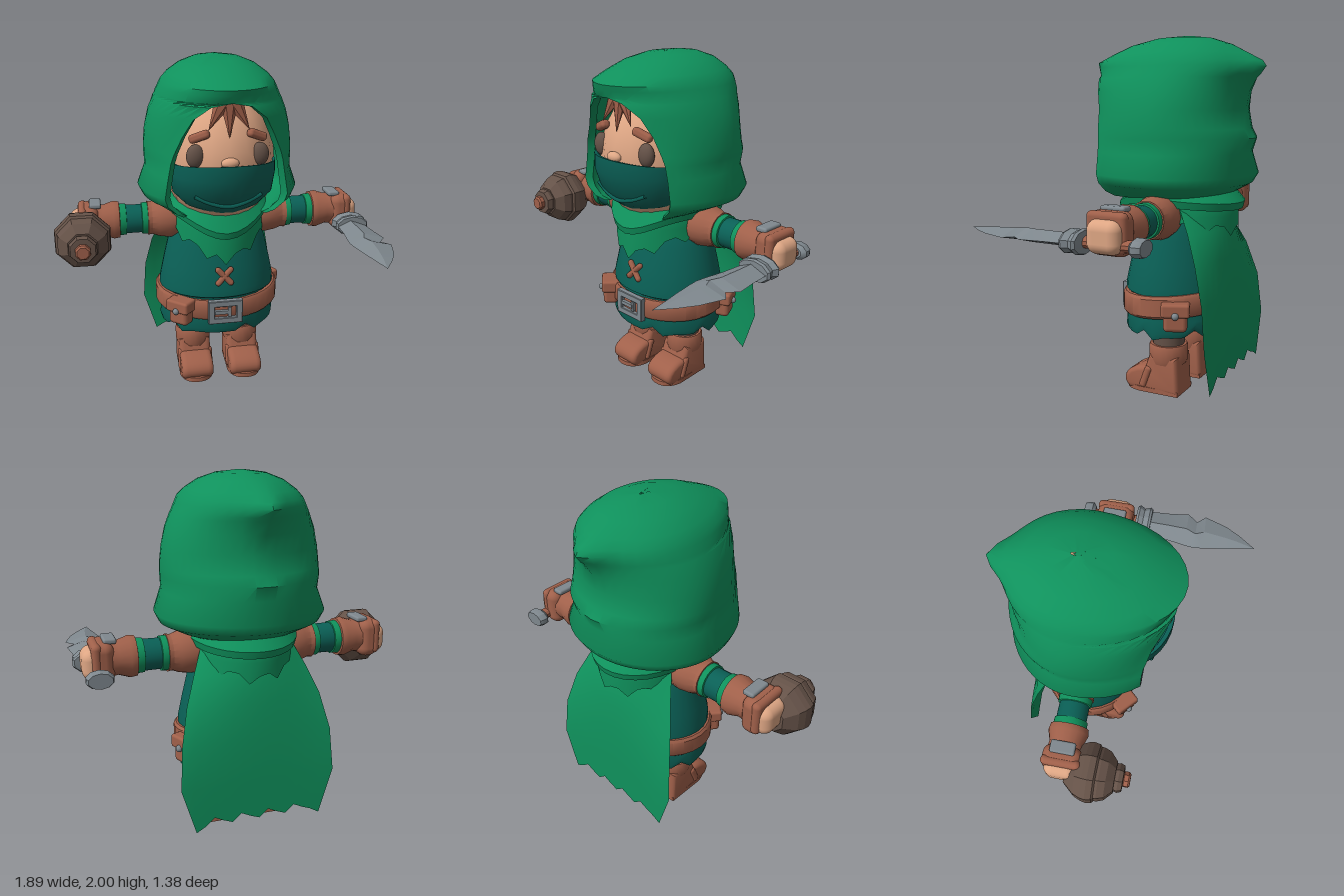
import * as THREE from 'three';
import { toCreasedNormals } from 'three/addons/utils/BufferGeometryUtils.js';
import { RoundedBoxGeometry } from 'three/addons/geometries/RoundedBoxGeometry.js';

const CX = 0.03, CZ = -0.2; // body axis
const { sin, cos, PI, abs } = Math;

const material = (name, color, side = THREE.FrontSide) => {
  const m = new THREE.MeshStandardMaterial({ color, side });
  m.name = name;
  return m;
};

// Skin a list of rows (top to bottom) of [x, y, z] points
function loft(rows, closed = true, crease = 0.7) {
  const n = rows[0].length, index = [];
  for (let i = 0; i < rows.length - 1; i++)
    for (let j = 0; j < (closed ? n : n - 1); j++) {
      const k = (j + 1) % n, a = i * n + j, b = a + n, c = i * n + k, d = c + n;
      index.push(a, b, c, b, d, c);
    }
  const g = new THREE.BufferGeometry();
  g.setAttribute('position', new THREE.Float32BufferAttribute(rows.flat(2), 3));
  g.setIndex(index);
  return toCreasedNormals(g, crease);
}

// Elliptical ring round the body; y may depend on the angle
const ring = (y, rx, rz, n = 32, zc = CZ) => Array.from({ length: n }, (_, j) => {
  const a = j / n * 2 * PI;
  return [CX + rx * sin(a), typeof y === 'function' ? y(a, j) : y, zc + rz * cos(a)];
});

const lathe = (points, sides = 20, crease = 0.6) =>
  toCreasedNormals(new THREE.LatheGeometry(points.map(p => new THREE.Vector2(...p)), sides), crease);

export function createModel() {
  const root = new THREE.Group();
  const green = material('hood green', 0x0f915c, THREE.DoubleSide);
  const teal = material('tunic teal', 0x0a6056, THREE.DoubleSide);
  const skin = material('skin', 0xdea684);
  const leather = material('leather brown', 0xa0604a);
  const dark = material('dark brown', 0x655248);
  const metal = material('steel grey', 0x7f888e);

  const add = (name, geo, mat, x = 0, y = 0, z = 0, parent = root) => {
    const m = new THREE.Mesh(geo, mat);
    m.name = name;
    m.position.set(x, y, z);
    parent.add(m);
    return m;
  };
  const blob = (name, mat, x, y, z, rx, ry, rz) =>
    add(name, new THREE.SphereGeometry(1, 20, 14).scale(rx, ry, rz), mat, x, y, z);

  // Hood: [y, half width, front z, back z, opening half width, back peak]
  const hood = [
    [2.0, 0.01, -0.24, -0.26, 0, 0], [1.985, 0.13, -0.05, -0.38, 0, 0], [1.95, 0.22, 0.1, -0.48, 0, 0.01],
    [1.9, 0.29, 0.22, -0.55, 0, 0.04], [1.86, 0.325, 0.31, -0.59, 0, 0.08], [1.83, 0.34, 0.3, -0.6, 0, 0.09],
    [1.79, 0.36, 0.285, -0.6, 0, 0.06], [1.77, 0.37, 0.275, -0.59, 0.11, 0.05], [1.7, 0.4, 0.23, -0.58, 0.2, 0.02],
    [1.6, 0.425, 0.19, -0.57, 0.255, 0.01], [1.5, 0.435, 0.17, -0.59, 0.3, 0.01], [1.45, 0.435, 0.16, -0.62, 0.315, 0.01],
    [1.37, 0.43, 0.155, -0.595, 0.33, 0], [1.25, 0.475, 0.155, -0.63, 0.35, 0], [1.2, 0.45, 0.15, -0.6, 0.335, 0],
    [1.15, 0.35, 0.14, -0.51, 0.28, 0], [1.12, 0.28, 0.1, -0.42, 0.24, 0],
  ];
  add('hood', loft(hood.map(([y, w, ze, zb, ow, tip]) => {
    const a0 = Math.asin(ow / w), zf = CZ + (ze - CZ) / cos(a0), n = 36, outer = [];
    for (let j = 0; j <= n; j++) {
      const a = a0 + (2 * PI - 2 * a0) * j / n, x = w * sin(a), c = cos(a);
      const z = c > 0 ? CZ + (zf - CZ) * c : CZ + (CZ - zb) * c - tip * Math.exp(-((x / 0.09) ** 2));
      outer.push([CX + x, y, z]);
    }
    const inner = outer.map(([x, yy, z]) => [CX + (x - CX) * 0.91, yy, CZ + (z - CZ) * 0.91]).reverse();
    return [...outer, ...inner];
  }), true, 0.9), green);

  // Head and face
  blob('head', skin, CX, 1.42, -0.15, 0.33, 0.42, 0.39);
  blob('nose', skin, CX, 1.46, 0.235, 0.05, 0.03, 0.03);
  for (const s of [-1, 1]) {
    blob('eye', dark, CX + s * 0.18, 1.49, 0.165, 0.052, 0.066, 0.035);
    const brow = add('eyebrow', new RoundedBoxGeometry(0.12, 0.05, 0.05, 2, 0.02), leather, CX + s * 0.16, 1.6, 0.175);
    brow.rotation.set(-0.2, s * 0.4, -s * 0.3);
  }
  for (const [x, y, r, h, tilt] of [[0.03, 1.7, 0.06, 0.22, 0], [-0.045, 1.71, 0.05, 0.17, -0.5], [0.1, 1.71, 0.05, 0.17, 0.5]]) {
    const lock = add('hair lock', toCreasedNormals(new THREE.ConeGeometry(r, h, 7).rotateX(PI).scale(1, 1, 0.6), 0.3), leather, x, y, 0.2);
    lock.rotation.set(-0.15, 0, tilt);
  }

  // Cloth mask: [y, half width, front z]
  const mask = [[1.445, 0.29, 0.25], [1.45, 0.305, 0.275], [1.36, 0.305, 0.275], [1.25, 0.29, 0.23], [1.18, 0.22, 0.185], [1.13, 0.11, 0.12]];
  add('mask', loft(mask.map(([y, hw, zf]) => Array.from({ length: 17 }, (_, j) => {
    const a = (j / 16 - 0.5) * PI;
    return [CX + hw * sin(a), y - (y > 1.4 ? 0.02 * sin(a) ** 2 : 0), zf * cos(a)];
  })), false), teal);
  const fold = new THREE.CatmullRomCurve3([[-0.19, 1.265, 0.185], [-0.1, 1.225, 0.2], [0, 1.205, 0.208], [0.1, 1.225, 0.2], [0.19, 1.265, 0.185]]
    .map(([x, y, z]) => new THREE.Vector3(CX + x, y, z)));
  add('mask fold', new THREE.TubeGeometry(fold, 16, 0.012, 6), teal);

  // Shoulder cowl with ragged hem, and the folded collar above it
  const hem = (a, j) => 0.94 - 0.08 * Math.max(0, cos(a)) ** 3 + 0.05 * abs(sin(a)) + (j % 3 === 0 ? -0.035 : 0.015);
  add('cowl', loft([ring(1.2, 0.25, 0.27), ring(1.1, 0.28, 0.33), ring(1.03, 0.28, 0.335), ring(hem, 0.285, 0.335)]), green);
  const vee = a => 1.09 - 0.1 * Math.max(0, cos(a)) ** 4 - 0.03 * Math.max(0, -cos(a));
  add('collar fold', loft([ring(1.19, 0.26, 0.29), ring(a => vee(a) + 0.04, 0.31, 0.37), ring(vee, 0.3, 0.36), ring(a => vee(a) + 0.01, 0.25, 0.3)]), green);

  // Cape: [y, half width, z, forward curl of the edges]
  const cape = [[1.1, 0.25, -0.42, 0.12], [0.95, 0.32, -0.49, 0.1], [0.8, 0.38, -0.52, 0.06], [0.6, 0.425, -0.54, 0.02], [0.36, 0.44, -0.545, 0], [0.13, 0.36, -0.545, 0]];
  add('cape', loft(cape.map(([y, hw, z, curl], i) => Array.from({ length: 15 }, (_, j) => {
    const u = j / 7 - 1;
    const rag = i === 5 ? (j % 14 === 0 ? -0.03 : [0.02, 0.0, 0.045][j % 3]) : 0;
    return [CX - u * hw, y + rag, z + curl * u * u];
  })), false), green);

  // Tunic, skirt and belt
  add('tunic', loft([ring(1.13, 0.18, 0.13), ring(1.05, 0.25, 0.19), ring(0.9, 0.3, 0.24), ring(0.75, 0.335, 0.275),
    ring(0.64, 0.358, 0.298), ring(0.6, 0.36, 0.3), ring(0.58, 0.33, 0.27)]), teal);
  const ragged = (a, j) => 0.37 - 0.01 * cos(a) + (j % 5 === 2 ? 0.035 : 0) - (j % 5 === 3 ? 0.015 : 0);
  add('skirt', loft([ring(0.6, 0.34, 0.28), ring(0.46, 0.355, 0.295), ring((a, j) => ragged(a, j) + 0.03, 0.362, 0.3),
    ring(ragged, 0.355, 0.29), ring(0.41, 0.32, 0.26), ring(0.42, 0.001, 0.001)]), teal);
  const tilt = y => a => y - 0.025 * cos(a);
  add('belt', loft([ring(tilt(0.605), 0.35, 0.29), ring(tilt(0.605), 0.372, 0.305), ring(tilt(0.59), 0.385, 0.315),
    ring(tilt(0.495), 0.385, 0.315), ring(tilt(0.48), 0.372, 0.305), ring(tilt(0.48), 0.35, 0.29)]), leather);
  for (const s of [-1, 1]) {
    const stitch = add('chest stitch', new THREE.CapsuleGeometry(0.018, 0.11, 4, 8), leather, CX, 0.73, 0.085);
    stitch.rotation.set(-0.15, 0, s * 0.75);
  }

  // Buckle
  const frame = new THREE.Shape([[-0.1, -0.07], [0.1, -0.07], [0.1, 0.07], [-0.1, 0.07]].map(p => new THREE.Vector2(...p)));
  frame.holes.push(new THREE.Path([[-0.07, -0.04], [-0.07, 0.04], [0.07, 0.04], [0.07, -0.04]].map(p => new THREE.Vector2(...p))));
  add('buckle', new THREE.ExtrudeGeometry(frame, { depth: 0.03, bevelSize: 0.004, bevelThickness: 0.004, bevelSegments: 1 }), metal, CX, 0.515, 0.1);
  add('buckle prong', new THREE.BoxGeometry(0.09, 0.022, 0.02), metal, CX - 0.02, 0.515, 0.125);
  add('buckle prong tip', new THREE.BoxGeometry(0.02, 0.06, 0.02), metal, CX + 0.025, 0.515, 0.122);

  // Belt pouches
  for (const a of [-0.74, PI / 2 + 0.42]) {
    const pouch = new THREE.Group();
    pouch.name = 'belt pouch';
    pouch.position.set(CX + 0.385 * sin(a), 0.515, CZ + 0.335 * cos(a));
    pouch.rotation.y = a;
    root.add(pouch);
    add('pouch bag', new RoundedBoxGeometry(0.13, 0.14, 0.09, 2, 0.025), leather, 0, -0.015, 0, pouch);
    add('pouch flap', new RoundedBoxGeometry(0.155, 0.075, 0.11, 2, 0.015), leather, 0, 0.035, 0, pouch);
    add('pouch stud', new THREE.SphereGeometry(0.02, 10, 8), metal, 0, 0.01, 0.055, pouch);
  }

  // Legs and boots
  const side = new THREE.Shape();
  side.moveTo(-0.08, 0.03).lineTo(0.2, 0.03).quadraticCurveTo(0.235, 0.06, 0.2, 0.09)
    .quadraticCurveTo(0.15, 0.125, 0.09, 0.125).lineTo(0.065, 0.2).lineTo(-0.07, 0.2).closePath();
  const bootGeo = toCreasedNormals(new THREE.ExtrudeGeometry(side, { depth: 0.13, bevelSize: 0.025, bevelThickness: 0.035, bevelSegments: 4, curveSegments: 6 })
    .translate(0, 0, -0.065).rotateY(-PI / 2), 0.7);
  const sole = new THREE.Shape();
  sole.moveTo(-0.095, -0.1).lineTo(0.095, -0.1).lineTo(0.105, 0.14).quadraticCurveTo(0.09, 0.25, 0, 0.25).quadraticCurveTo(-0.09, 0.25, -0.105, 0.14).closePath();
  const soleGeo = new THREE.ExtrudeGeometry(sole, { depth: 0.028, bevelEnabled: false }).rotateX(PI / 2).translate(0, 0.028, 0);
  for (const s of [-1, 1]) {
    const x = CX + s * 0.155;
    add('trouser leg', new THREE.CylinderGeometry(0.098, 0.09, 0.25, 16), dark, x, 0.36, CZ);
    add('boot cuff', lathe([[0.08, 0.17], [0.105, 0.175], [0.112, 0.2], [0.112, 0.27], [0.105, 0.285], [0.07, 0.285]]), leather, x, 0, CZ);
    add('boot', bootGeo, leather, x, 0, CZ);
    add('boot sole', soleGeo, leather, x, 0, CZ);
    const strap = add('boot strap', new RoundedBoxGeometry(0.222, 0.14, 0.045, 2, 0.02), leather, x, 0.09, CZ + 0.1);
    strap.rotation.x = -0.35;
  }

  // Arms, built outwards along x
  for (const s of [-1, 1]) {
    const arm = new THREE.Group();
    arm.name = s > 0 ? 'leftArm' : 'rightArm';
    arm.position.set(CX, 1.03, CZ);
    root.add(arm);
    const limb = (name, pts, mat) => add(name, lathe(pts, 18).rotateZ(-s * PI / 2), mat, 0, 0, 0, arm);
    limb('shoulder pad', [[0.06, 0.2], [0.12, 0.24], [0.125, 0.3], [0.115, 0.36], [0.1, 0.4], [0.105, 0.425], [0.07, 0.43]], leather);
    limb('upper cuff', [[0.07, 0.42], [0.098, 0.425], [0.096, 0.46], [0.07, 0.465]], green);
    limb('sleeve', [[0.085, 0.35], [0.088, 0.6]], teal);
    limb('lower cuff', [[0.07, 0.55], [0.095, 0.555], [0.098, 0.6], [0.07, 0.605]], green);
    limb('bracer', [[0.06, 0.585], [0.11, 0.595], [0.115, 0.63], [0.095, 0.69], [0.1, 0.73], [0.06, 0.735]], leather);
    add('glove', new RoundedBoxGeometry(0.12, 0.22, 0.22, 3, 0.05), leather, s * 0.775, -0.005, 0, arm);
    add('glove plate', new RoundedBoxGeometry(0.07, 0.03, 0.14, 2, 0.012), metal, s * 0.735, 0.108, 0, arm);
    add('fist', new RoundedBoxGeometry(0.14, 0.17, 0.19, 4, 0.055), skin, s * 0.815, -0.015, 0, arm);
    add('knuckle band', new RoundedBoxGeometry(0.055, 0.2, 0.225, 2, 0.03), leather, s * 0.81, 0.005, 0, arm);
  }

  // Knife, pointing forward
  const knife = new THREE.Group();
  knife.name = 'knife';
  knife.position.set(0.84, 0.975, 0);
  root.add(knife);
  const turned = (name, pts, mat, sy, sides) =>
    add(name, lathe(pts, sides, 0.5).rotateX(PI / 2).scale(1, sy, 1), mat, 0, 0, 0, knife);
  turned('knife pommel', [[0, -0.41], [0.065, -0.41], [0.075, -0.39], [0.075, -0.36], [0.05, -0.34], [0, -0.34]], metal, 0.65, 10);
  turned('knife grip', [[0.035, -0.35], [0.035, -0.05]], leather, 0.9, 10);
  turned('knife guard', [[0, -0.08], [0.1, -0.075], [0.11, -0.06], [0.09, -0.03], [0.105, 0.005], [0.095, 0.02], [0, 0.02]], metal, 0.6, 10);
  // Blade sections: [back x, back z, edge x, edge z, half thickness]
  const blade = [[-0.09, 0, 0.08, 0, 0.035], [-0.1, 0.14, 0.09, 0.14, 0.035], [-0.118, 0.25, 0.105, 0.25, 0.035], [-0.125, 0.31, 0.06, 0.31, 0.032],
    [-0.118, 0.37, 0.105, 0.36, 0.03], [-0.1, 0.48, 0.06, 0.5, 0.022], [-0.08, 0.58, 0.01, 0.59, 0.012], [-0.06, 0.69, -0.06, 0.69, 0]];
  add('knife blade', loft(blade.map(([bx, bz, ex, ez, t]) => {
    const mx = bx * 0.55 + ex * 0.45, mz = (bz + ez) / 2;
    return [[bx, 0, bz], [mx, -t, mz], [ex, 0, ez], [mx, t, mz]];
  }).reverse(), true, 0.15), metal, 0, 0, 0, knife);

  // Round flask, held with its neck forward
  const flask = new THREE.Group();
  flask.name = 'flask';
  flask.position.set(-0.785, 0.975, 0);
  root.add(flask);
  const part = (name, pts, mat) => add(name, lathe(pts, 8, 0.2).rotateZ(0).rotateX(PI / 2).rotateZ(PI / 8), mat, 0, 0, 0, flask);
  part('flask body', [[0, -0.19], [0.09, -0.175], [0.15, -0.11], [0.168, -0.07], [0.174, -0.04], [0.168, -0.005], [0.155, 0.005], [0.155, 0.02], [0.14, 0.06], [0.09, 0.105],
    [0.08, 0.105], [0.085, 0.125], [0.075, 0.15], [0, 0.155]], dark);
  part('flask stopper', [[0.035, 0.15], [0.045, 0.155], [0.045, 0.18], [0.035, 0.19], [0, 0.19]], leather);

  return root;
}
